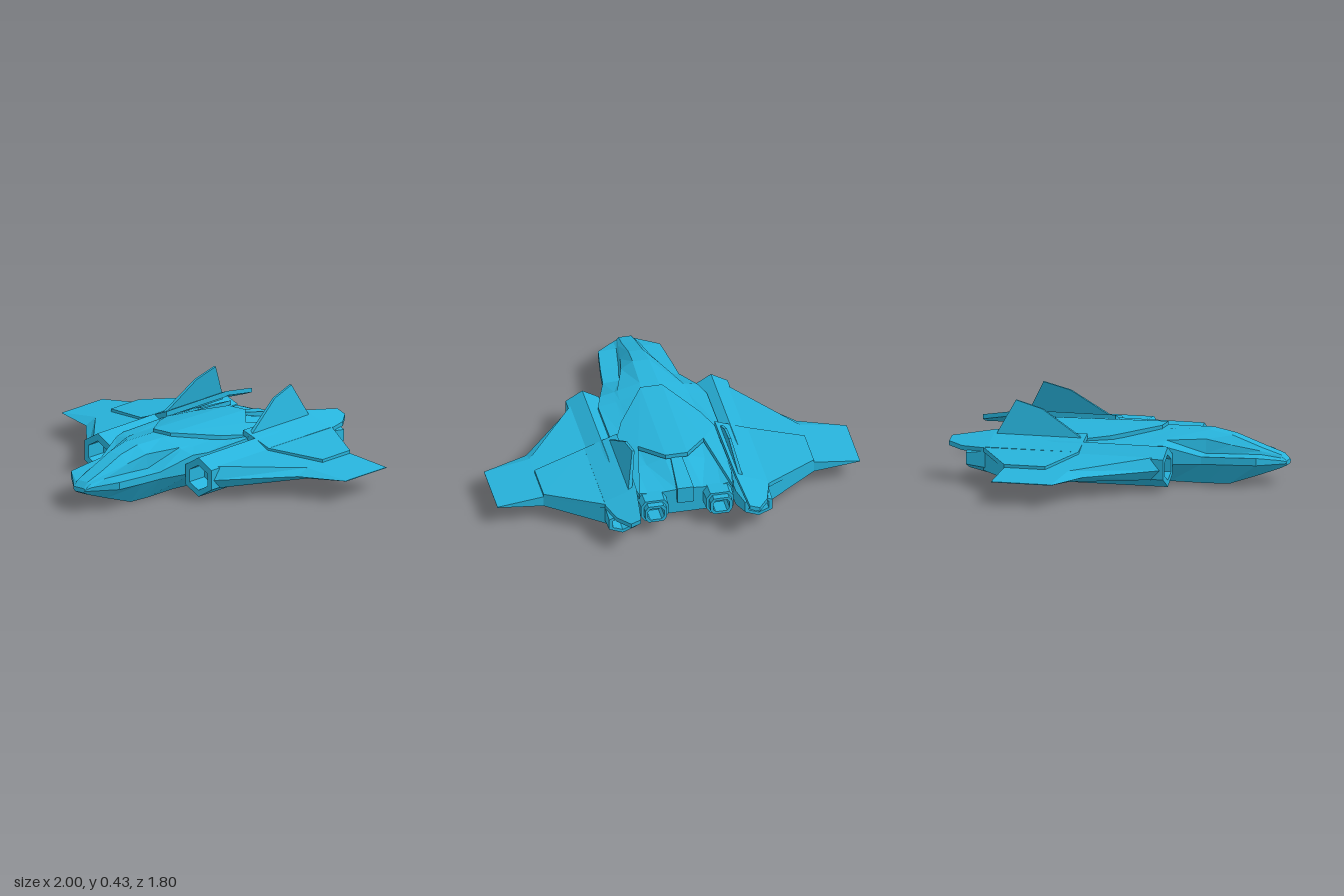
import * as THREE from 'three';

const material = new THREE.MeshStandardMaterial({ color: 0x27b2da, flatShading: true, side: THREE.DoubleSide });

// Skin a list of equal-length rings of [x, y, z], closed at both ends.
function loft(rings) {
  const n = rings[0].length, index = [];
  for (let i = 0; i < rings.length - 1; i++) {
    for (let j = 0; j < n; j++) {
      const a = i * n + j, b = i * n + (j + 1) % n;
      index.push(a, a + n, b + n, a, b + n, b);
    }
  }
  const last = (rings.length - 1) * n;
  for (let j = 1; j < n - 1; j++) index.push(0, j, j + 1, last, last + j + 1, last + j);
  const g = new THREE.BufferGeometry();
  g.setAttribute('position', new THREE.Float32BufferAttribute(rings.flat(2), 3));
  g.setIndex(index);
  g.computeVertexNormals();
  return g;
}

function bend(g, rule) {
  const p = g.attributes.position, v = new THREE.Vector3();
  for (let i = 0; i < p.count; i++) {
    rule(v.fromBufferAttribute(p, i));
    p.setXYZ(i, v.x, v.y, v.z);
  }
  g.computeVertexNormals();
  return g;
}

// Mirror across x = 0 and reverse the winding.
function mirrored(g) {
  const m = bend(g.index ? g.toNonIndexed() : g.clone(), v => { v.x *= -1; });
  const a = m.attributes.position.array;
  for (let i = 0; i < a.length; i += 9) {
    for (let k = 3; k < 6; k++) [a[i + k], a[i + k + 3]] = [a[i + k + 3], a[i + k]];
  }
  m.computeVertexNormals();
  return m;
}

// Plate cut from an [x, z] outline and lifted onto a height rule.
function plate(outline, thick, height) {
  const shape = new THREE.Shape(outline.map(([x, z]) => new THREE.Vector2(x, -z)));
  const g = new THREE.ExtrudeGeometry(shape, { depth: thick, bevelEnabled: false });
  g.rotateX(-Math.PI / 2);
  return bend(g, v => { v.y += height(v.x, v.z) - thick; });
}

// Ring at z from a half profile given top to bottom.
function bodyRing(z, half) {
  return [...half].reverse().map(([x, y]) => [x, y, z]).concat(half.map(([x, y]) => [-x, y, z]));
}

// Hexagon ring with points at top and bottom.
function hexRing(cx, cy, rx, ry, z) {
  return [[1, -0.5], [1, 0.5], [0, 1], [-1, 0.5], [-1, -0.5], [0, -1]]
    .map(([x, y]) => [cx + x * rx, cy + y * ry, z]);
}

// Rectangular ring with clipped corners.
function boxRing(cx, cy, rx, ry, z) {
  return [[1, -0.5], [1, 0.5], [0.7, 1], [-0.7, 1], [-1, 0.5], [-1, -0.5], [-0.7, -1], [0.7, -1]]
    .map(([x, y]) => [cx + x * rx, cy + y * ry, z]);
}

export function createModel() {
  const group = new THREE.Group();
  const add = (name, g) => {
    const mesh = new THREE.Mesh(g, material);
    mesh.name = name;
    group.add(mesh);
  };
  const addPair = (name, g) => {
    add(name + 'Left', g);
    add(name + 'Right', mirrored(g));
  };

  // Fuselage: nose, canopy ridge, shoulders, cheeks and rear deck
  add('fuselage', loft([
    bodyRing(0.90, [[0.03, 0.13], [0.035, 0.128], [0.04, 0.125], [0.04, 0.122], [0.04, 0.115], [0.03, 0.105]]),
    bodyRing(0.87, [[0.035, 0.16], [0.04, 0.155], [0.045, 0.145], [0.065, 0.135], [0.065, 0.115], [0.04, 0.09]]),
    bodyRing(0.765, [[0.04, 0.195], [0.06, 0.18], [0.07, 0.163], [0.17, 0.16], [0.17, 0.12], [0.08, 0.055]]),
    bodyRing(0.60, [[0.04, 0.255], [0.085, 0.21], [0.095, 0.163], [0.195, 0.16], [0.195, 0.12], [0.11, 0.002]]),
    bodyRing(0.47, [[0.045, 0.28], [0.11, 0.24], [0.12, 0.163], [0.21, 0.16], [0.21, 0.12], [0.12, 0]]),
    bodyRing(0.27, [[0.05, 0.277], [0.175, 0.245], [0.19, 0.238], [0.27, 0.22], [0.27, 0.12], [0.125, 0.002]]),
    bodyRing(0.18, [[0.06, 0.272], [0.18, 0.24], [0.2, 0.235], [0.3, 0.22], [0.3, 0.12], [0.15, 0.005]]),
    bodyRing(-0.15, [[0.06, 0.27], [0.18, 0.235], [0.22, 0.228], [0.3, 0.225], [0.3, 0.12], [0.17, 0.012]]),
    bodyRing(-0.40, [[0.06, 0.25], [0.16, 0.215], [0.22, 0.215], [0.29, 0.225], [0.29, 0.12], [0.18, 0.025]]),
    bodyRing(-0.62, [[0.04, 0.19], [0.1, 0.185], [0.2, 0.185], [0.27, 0.2], [0.27, 0.12], [0.2, 0.04]])
  ]));

  // Central tail spine
  add('tailSpine', loft([
    bodyRing(-0.40, [[0.03, 0.262], [0.03, 0.2]]),
    bodyRing(-0.65, [[0.045, 0.215], [0.045, 0.12]])
  ]));

  // Engine pods, hollow at both ends
  addPair('enginePod', loft([
    hexRing(0.355, 0.122, 0.063, 0.07, 0.2),
    hexRing(0.355, 0.122, 0.063, 0.07, 0.325),
    hexRing(0.355, 0.125, 0.092, 0.11, 0.325),
    hexRing(0.355, 0.125, 0.092, 0.112, -0.3),
    hexRing(0.36, 0.13, 0.09, 0.088, -0.68),
    hexRing(0.375, 0.13, 0.075, 0.062, -0.78),
    hexRing(0.375, 0.13, 0.055, 0.042, -0.78),
    hexRing(0.375, 0.13, 0.055, 0.042, -0.7)
  ]));

  // Inner exhaust nozzles, stepped and hollow
  addPair('nozzle', loft([
    boxRing(0.18, 0.125, 0.08, 0.062, -0.55),
    boxRing(0.18, 0.125, 0.075, 0.062, -0.695),
    boxRing(0.18, 0.125, 0.06, 0.05, -0.695),
    boxRing(0.18, 0.125, 0.06, 0.05, -0.73),
    boxRing(0.18, 0.125, 0.045, 0.035, -0.73),
    boxRing(0.18, 0.125, 0.045, 0.035, -0.64)
  ]));

  // Wings with a bevelled leading edge and a flat sharp tip
  const wingRing = (x, front, crease, back, top, bottom) => [
    [x, 0.12, front], [x, top, crease], [x, top, back], [x, 0.12, back], [x, bottom, back], [x, bottom, crease]
  ];
  addPair('wing', loft([
    wingRing(0.43, 0.325, 0.27, -0.685, 0.188, 0.065),
    wingRing(0.745, -0.04, -0.12, -0.48, 0.152, 0.092),
    wingRing(1, -0.14, -0.145, -0.48, 0.122, 0.118)
  ]));

  // Raised wing panels and the tailplanes that continue them
  const panelHeight = (x, z) =>
    (x < 0.45 ? 0.255 - (x - 0.3) * 0.38 : 0.198 - (x - 0.45) * 0.1) - Math.max(0, -0.66 - z) * 0.13;
  addPair('innerWingPanel', plate([[0.27, -0.15], [0.45, -0.15], [0.45, -0.66], [0.275, -0.66]], 0.03, panelHeight));
  addPair('outerWingPanel', plate([[0.45, -0.15], [0.745, -0.25], [0.745, -0.48], [0.45, -0.68]], 0.025, panelHeight));
  addPair('tailplane', plate(
    [[0.275, -0.66], [0.45, -0.66], [0.45, -0.69], [0.415, -0.81], [0.355, -0.9], [0.3, -0.9]], 0.025, panelHeight));

  // Dorsal plate: flat centre with sloping sides that end in a notched rear edge
  const deckHeight = (x, z) => 0.292 - Math.max(0, Math.abs(x) - 0.06) * 0.25 - Math.max(0, -0.25 - z) * 0.07;
  add('dorsalPlate', plate([[-0.06, 0.21], [0.06, 0.21], [0.06, -0.42], [-0.06, -0.42]], 0.025, deckHeight));
  addPair('dorsalPlateSide', plate(
    [[0.06, 0.21], [0.22, -0.03], [0.27, -0.15], [0.275, -0.55], [0.255, -0.67], [0.18, -0.28], [0.06, -0.42]],
    0.025, deckHeight));

  // Tail fins leaning inward
  const finShape = new THREE.Shape(
    [[0.15, 0.215], [0.66, 0.215], [0.64, 0.26], [0.55, 0.43], [0.4, 0.39], [0.15, 0.235]]
      .map(([s, y]) => new THREE.Vector2(s, y)));
  const fin = new THREE.ExtrudeGeometry(finShape, { depth: 0.022, bevelEnabled: false });
  fin.rotateY(Math.PI / 2);
  addPair('tailFin', bend(fin, v => {
    const t = (v.y - 0.22) / 0.21;
    v.x = v.x * (1 - 0.4 * t) + 0.3 - 0.04 * t;
  }));

  return group;
}
